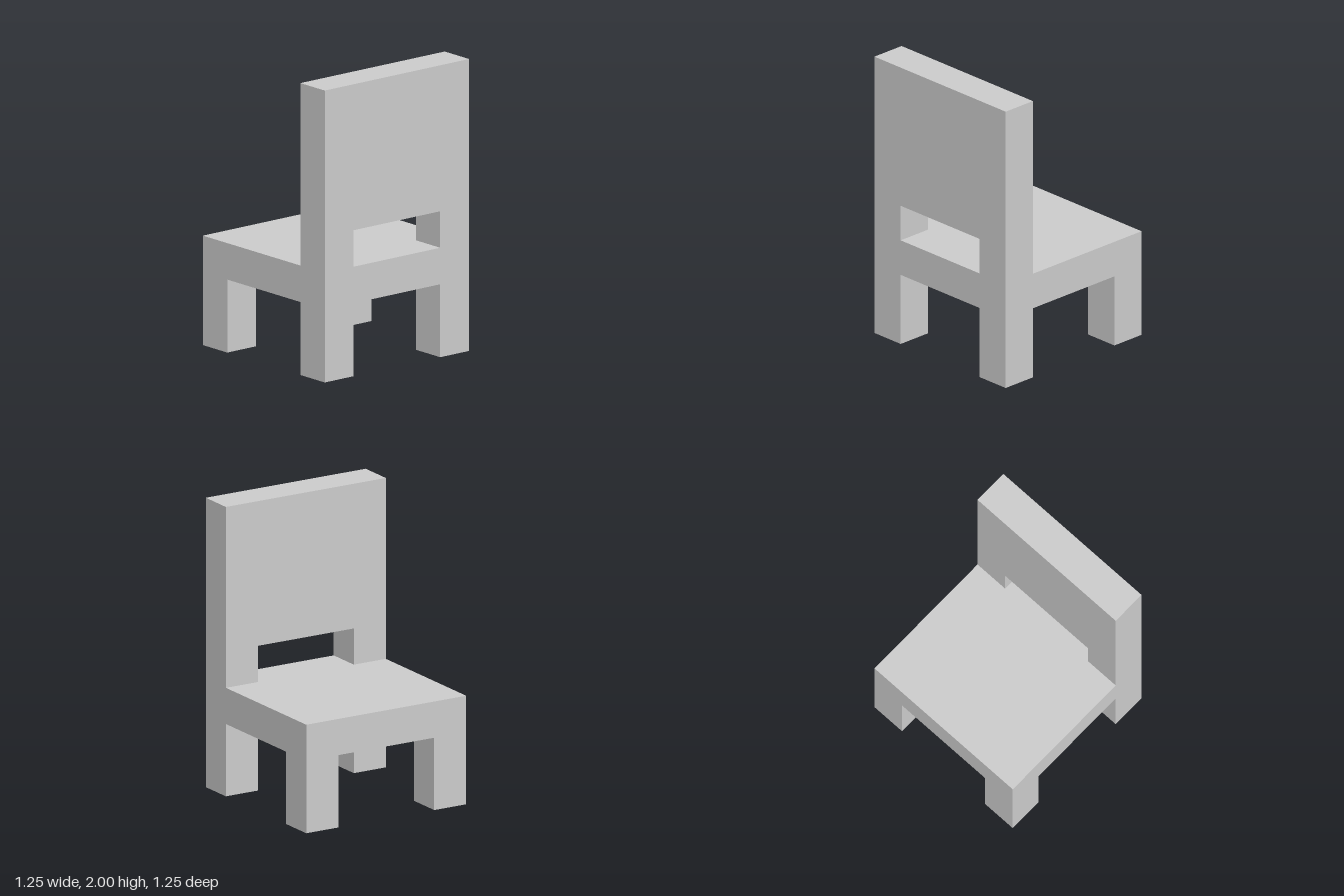
import * as THREE from 'three';

const W = 1.25;          // overall width and depth
const H = W / 2;
const T = 0.25;          // thickness of legs, seat and back
const LEG = 0.5;         // leg height
const SEAT_TOP = LEG + T;
const INNER = H - T;     // inner edge of the legs

export function createModel() {
  const group = new THREE.Group();
  const material = new THREE.MeshStandardMaterial({ color: 0xcccccc, flatShading: true });

  const add = (name, geometry, x, y, z) => {
    const mesh = new THREE.Mesh(geometry, material);
    mesh.name = name;
    mesh.position.set(x, y, z);
    group.add(mesh);
  };
  const path = (Type, points) => new Type(points.map(([x, y]) => new THREE.Vector2(x, y)));

  // Back panel and its two legs in one outline, with a slot above the seat
  const back = path(THREE.Shape, [
    [-H, 0], [-INNER, 0], [-INNER, LEG], [INNER, LEG],
    [INNER, 0], [H, 0], [H, 2], [-H, 2],
  ]);
  back.holes.push(path(THREE.Path, [
    [-INNER, SEAT_TOP], [-INNER, 1], [INNER, 1], [INNER, SEAT_TOP],
  ]));
  add('backrestWithLegs', new THREE.ExtrudeGeometry(back, { depth: T, bevelEnabled: false }), 0, 0, INNER);

  // Seat slab, butting against the back panel
  add('seat', new THREE.BoxGeometry(W, T, W - T), 0, LEG + T / 2, -T / 2);

  // The two free-standing legs at the open end of the seat
  for (const [name, side] of [['leftLeg', 1], ['rightLeg', -1]]) {
    add(name, new THREE.BoxGeometry(T, LEG, T), side * (H - T / 2), LEG / 2, -H + T / 2);
  }

  return group;
}
